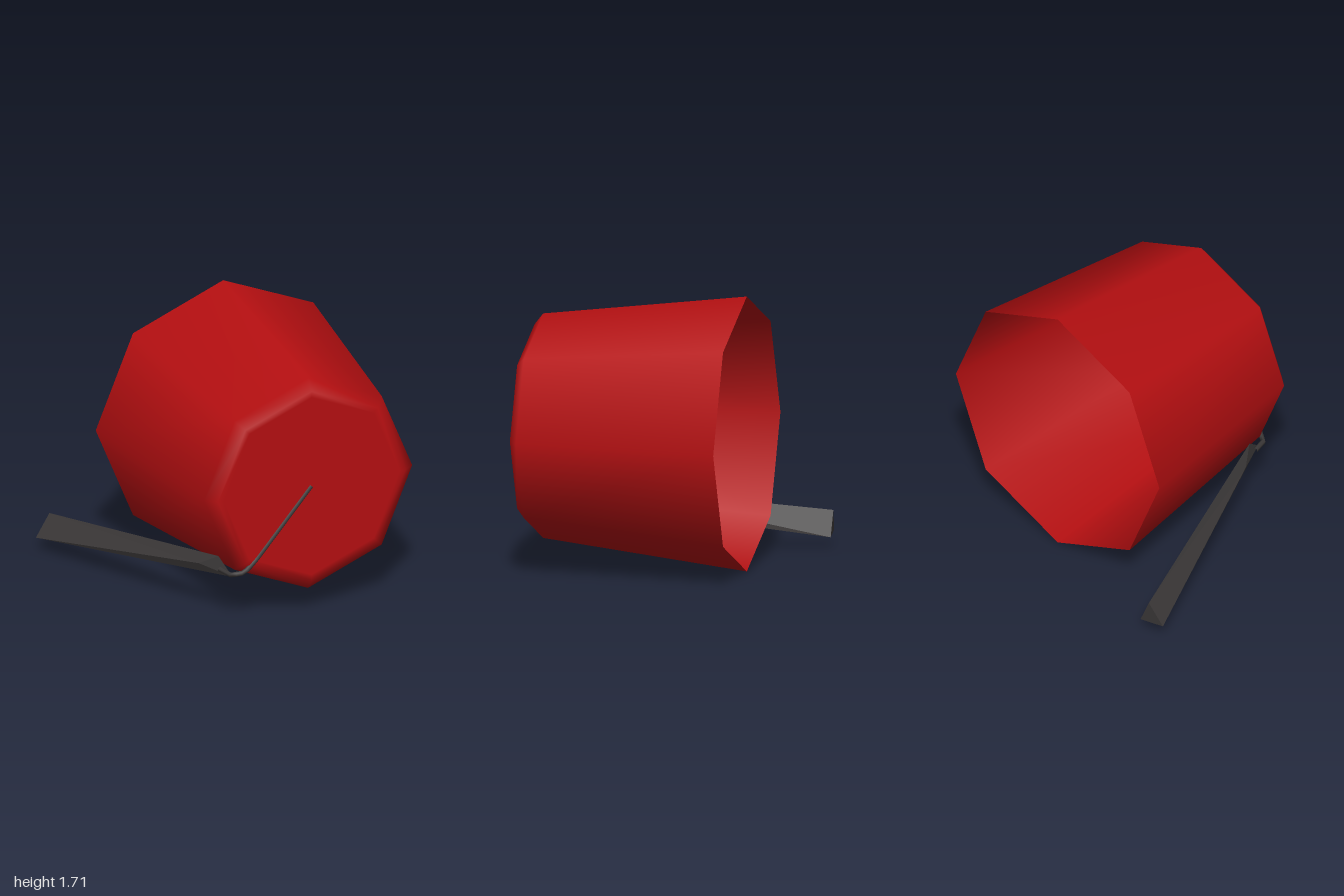
import * as THREE from 'three';

const red = new THREE.MeshStandardMaterial({ color: 0xb50f11, side: THREE.DoubleSide });
red.name = 'red';
const charcoal = new THREE.MeshStandardMaterial({ color: 0x3b3838 });
charcoal.name = 'charcoal';

function addMesh(group, name, geometry, material) {
  const mesh = new THREE.Mesh(geometry, material);
  mesh.name = name;
  group.add(mesh);
  return mesh;
}

// Closed beam lofted between a back and a front triangle, flat faceted
function beam(back, front) {
  const pos = [];
  const tri = (...corners) => corners.forEach((c) => pos.push(...c));
  tri(...back);
  tri(front[0], front[2], front[1]);
  for (let i = 0; i < 3; i++) {
    const j = (i + 1) % 3;
    tri(back[i], front[i], back[j]);
    tri(back[j], front[i], front[j]);
  }
  const geometry = new THREE.BufferGeometry();
  geometry.setAttribute('position', new THREE.Float32BufferAttribute(pos, 3));
  geometry.computeVertexNormals();
  return geometry;
}

export function createModel() {
  const model = new THREE.Group();
  model.name = 'cup';

  // Eight-sided cup lying on its side: open at the back, bevelled base in front
  const profile = [[0.857, -0.53], [0.7, 0.76], [0.63, 0.815], [0.59, 0.815], [0, 0.815]]
    .map(([r, z]) => new THREE.Vector2(r, z));
  const bowl = new THREE.LatheGeometry(profile, 8);
  bowl.rotateX(Math.PI / 2);
  bowl.translate(0.14, 0.86, 0);
  addMesh(model, 'bowl', bowl, red);

  // Tapered three-sided handle running back along the lower side
  addMesh(model, 'handle', beam(
    [[-1, 0.09, -0.8], [-0.9, 0.23, -0.82], [-0.83, 0.07, -0.82]],
    [[-0.48, 0.33, 0.5], [-0.4, 0.41, 0.62], [-0.36, 0.31, 0.74]],
  ), charcoal);

  // Thin rod from the handle, around the bevel, to the middle of the base
  const path = new THREE.CurvePath();
  const points = [
    [-0.41, 0.34, 0.66], [-0.38, 0.335, 0.765], [-0.31, 0.355, 0.808],
    [-0.23, 0.43, 0.808], [0.14, 0.86, 0.808],
  ].map((p) => new THREE.Vector3(...p));
  for (let i = 1; i < points.length; i++) path.add(new THREE.LineCurve3(points[i - 1], points[i]));
  addMesh(model, 'rod', new THREE.TubeGeometry(path, 24, 0.016, 6), charcoal);

  return model;
}
